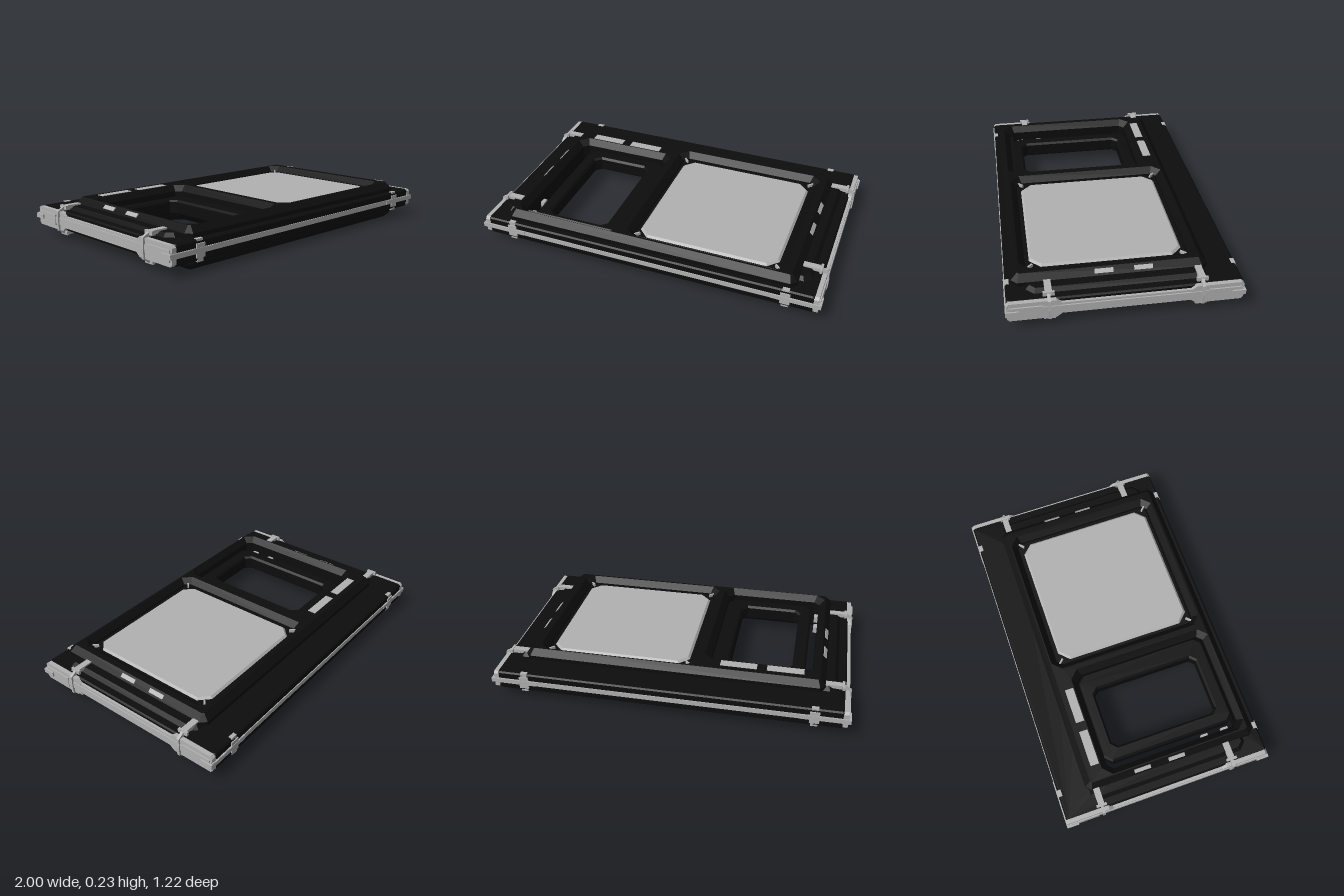
import * as THREE from 'three';

const black = new THREE.MeshStandardMaterial({ name: 'black casing', color: 0x0d0d0d });
const grey = new THREE.MeshStandardMaterial({ name: 'grey metal', color: 0xb2b2b2 });
const MID = 0.111; // height of the horizontal symmetry plane

// Rectangle with cut corners, as 2D points
function cutRect(x0, x1, z0, z1, c) {
  return [[x0 + c, z0], [x1 - c, z0], [x1, z0 + c], [x1, z1 - c],
    [x1 - c, z1], [x0 + c, z1], [x0, z1 - c], [x0, z0 + c]].map(p => new THREE.Vector2(...p));
}

export function createModel() {
  const model = new THREE.Group();
  model.name = 'framedPanel';

  const add = (name, geometry, material, parent = model) => {
    const mesh = new THREE.Mesh(geometry, material);
    mesh.name = name;
    parent.add(mesh);
    return mesh;
  };

  // Box given by its limits
  const box = (name, material, x0, x1, y0, y1, z0, z1) => {
    const g = new THREE.BoxGeometry(Math.abs(x1 - x0), y1 - y0, Math.abs(z1 - z0));
    g.translate((x0 + x1) / 2, (y0 + y1) / 2, (z0 + z1) / 2);
    return add(name, g, material);
  };

  // Horizontal bevelled plate, half thickness h around the mid plane
  const plate = (name, material, rect, h, bevel, holes = []) => {
    const shape = new THREE.Shape(cutRect(...rect));
    holes.forEach(r => shape.holes.push(new THREE.Path(cutRect(...r))));
    const depth = 2 * (h - bevel);
    const g = new THREE.ExtrudeGeometry(shape, {
      depth, bevelEnabled: true, bevelSegments: 1,
      bevelSize: bevel, bevelThickness: bevel, bevelOffset: -bevel,
    });
    g.translate(0, 0, -depth / 2);
    g.rotateX(Math.PI / 2);
    return add(name, g, material).position.setY(MID);
  };

  // Casing: thin outer frame, stepped tier, thick raised body
  const leftOpening = [-0.78, -0.2, -0.29, 0.5, 0.03];
  const rightOpening = [-0.1, 0.75, -0.37, 0.49, 0.03];
  const openings = [leftOpening, rightOpening];
  plate('outerFrame', black, [-0.967, 0.967, -0.602, 0.602, 0.012], 0.054, 0.008, openings);
  plate('steppedTier', black, [-0.92, 0.92, -0.43, 0.5, 0.04], 0.074, 0.02, openings);
  plate('raisedBody', black, [-0.855, 0.855, -0.445, 0.57, 0.03], 0.111, 0.034, openings);

  // Open window with its offset inner frame
  plate('slidingFrame', black, [-0.738, -0.19, -0.295, 0.505, 0.045], 0.046, 0.012,
    [[-0.66, -0.3, -0.22, 0.42, 0.03]]);
  for (const z of [0.305, 0.43]) box('guideTab', grey, -0.785, -0.757, MID - 0.02, MID + 0.02, z - 0.02, z + 0.02);

  // Closed window
  plate('paneBezel', black, [-0.105, 0.755, -0.375, 0.495, 0.01], 0.068, 0.008);
  plate('pane', grey, [-0.085, 0.732, -0.35, 0.472, 0.06], 0.08, 0.016);
  for (const [x, z, a] of [[-0.08, -0.345, -1], [0.73, -0.345, 1], [-0.08, 0.467, 1], [0.73, 0.467, -1]]) {
    const bolt = add('cornerBolt', new THREE.BoxGeometry(0.038, 0.17, 0.01), grey);
    bolt.position.set(x, MID, z);
    bolt.rotation.y = a * Math.PI / 4;
  }

  // Inlaid bars on both faces
  for (const f of [-1, 1]) {
    for (const x of [-0.63, -0.37]) {
      const bar = add('faceInlay', new THREE.BoxGeometry(0.205, 0.006, 0.05), grey);
      bar.position.set(x, MID + f * 0.1105, -0.355);
    }
    for (const s of [-1, 1]) for (const z of [-0.108, 0.097]) {
      const bar = add('bevelInlay', new THREE.BoxGeometry(0.024, 0.008, 0.097), grey);
      bar.position.set(s * 0.838, MID + f * 0.094, z);
      bar.rotation.z = -s * f * Math.PI / 4;
    }
  }

  // Extrudes a flat outline of [u, y] points sideways into a centred slab
  const slab = (points, width) => {
    const g = new THREE.ExtrudeGeometry(new THREE.Shape(points.map(p => new THREE.Vector2(...p))),
      { depth: width, bevelEnabled: false });
    return g.translate(0, 0, -width / 2);
  };

  const cornerOutline = [[0.33, -0.034], [0.355, -0.053], [0.59, -0.053], [0.603, -0.04],
    [0.603, 0.04], [0.59, 0.053], [0.355, 0.053], [0.33, 0.034]];
  const clampOutline = [[0.85, 0.05], [0.94, 0.05], [0.975, 0.035], [0.985, 0],
    [0.997, 0], [0.994, 0.055], [0.95, 0.082], [0.85, 0.08]];

  for (const s of [-1, 1]) {
    // Side rail
    box('sideRail', grey, s * 0.955, s * 0.982, MID - 0.033, MID + 0.033, -0.6, 0.6);
    box('sideRailStrip', grey, s * 0.97, s * 0.989, MID - 0.02, MID + 0.02, -0.6, 0.6);
    // Front and back edge strips
    box('edgeStrip', grey, -0.99, 0.99, MID - 0.014, MID + 0.014, s * 0.595, s * 0.607);

    for (const t of [-1, 1]) {
      // Corner guard with inset block and wrapping hook
      const guard = add('cornerGuard', slab(cornerOutline, 0.027), grey);
      guard.rotation.y = t > 0 ? -Math.PI / 2 : Math.PI / 2;
      guard.position.set(s * 0.971, MID, 0);
      box('guardBlock', grey, s * 0.97, s * 0.992, MID - 0.03, MID + 0.03, t * 0.42, t * 0.59);
      box('cornerHook', grey, s * 0.97, s, MID - 0.013, MID + 0.013, t * 0.54, t * 0.61);
      box('cornerHookArm', grey, s * 0.73, s, MID - 0.013, MID + 0.013, t * 0.598, t * 0.61);
      // Clip on the long edge
      box('edgeClip', grey, s * 0.782, s * 0.836, MID - 0.036, MID + 0.036, t * 0.58, t * 0.608);
      box('edgeClipCore', grey, s * 0.79, s * 0.828, MID - 0.058, MID + 0.058, t * 0.58, t * 0.602);

      // Side clamp, upper and lower arms
      const clamp = new THREE.Group();
      clamp.name = 'sideClamp';
      clamp.position.set(0, MID, t * 0.39);
      clamp.rotation.y = s > 0 ? 0 : Math.PI;
      model.add(clamp);
      for (const f of [0, 1]) {
        const arm = new THREE.Group();
        arm.name = 'clampArm';
        arm.rotation.x = f * Math.PI;
        clamp.add(arm);
        add('clampHook', slab(clampOutline, 0.016), grey, arm);
        add('clampBar', new THREE.BoxGeometry(0.09, 0.02, 0.036), grey, arm).position.set(0.897, 0.073, 0);
        add('clampHead', new THREE.BoxGeometry(0.014, 0.022, 0.06), grey, arm).position.set(0.95, 0.073, 0);
      }
    }
  }
  return model;
}
